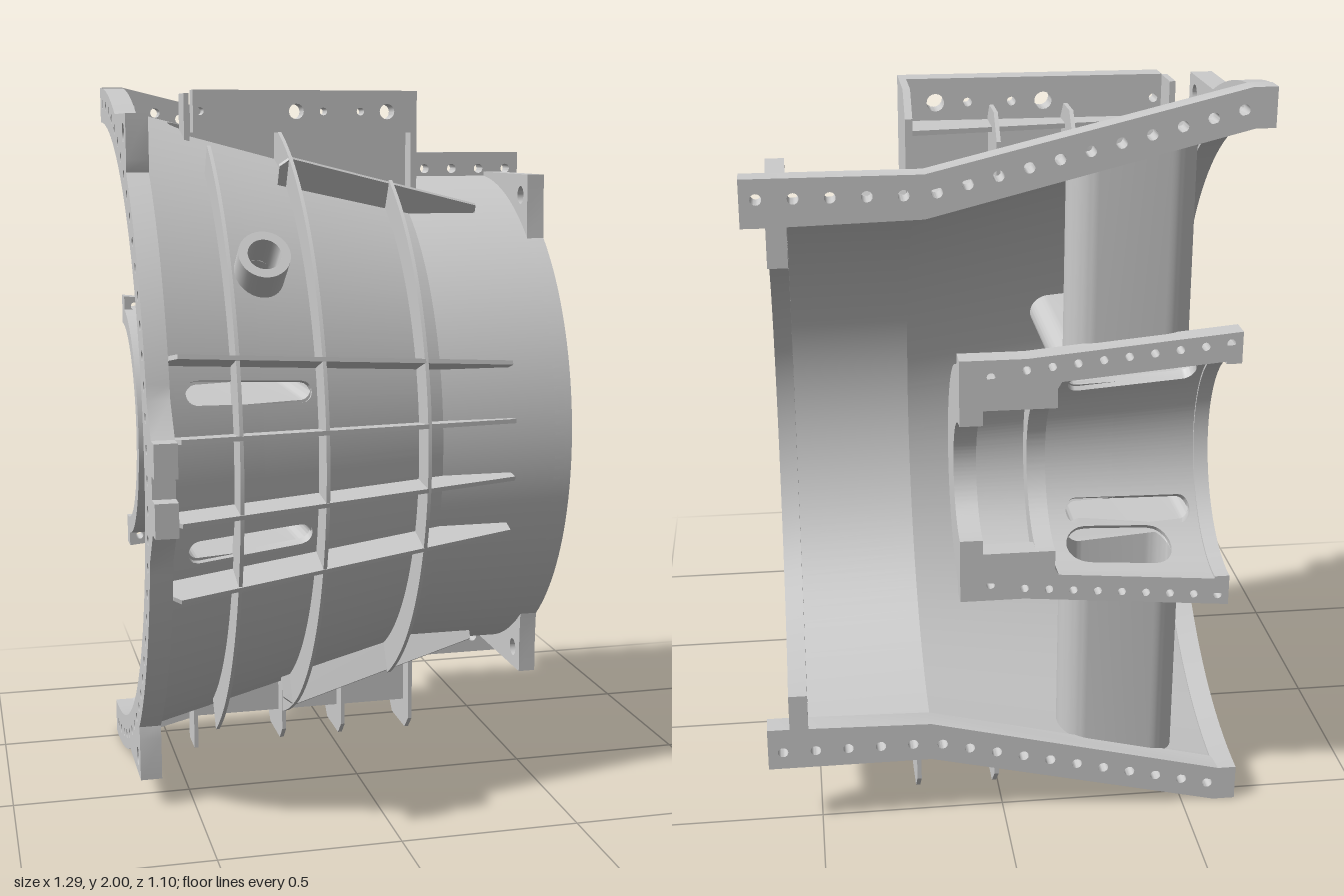
import * as THREE from 'three';
import { toCreasedNormals } from 'three/addons/utils/BufferGeometryUtils.js';

const AY = 1, AZ = -0.55, RAD = Math.PI / 180; // machine axis runs along x
const mat = new THREE.MeshStandardMaterial({ color: 0xcccccc, side: THREE.DoubleSide });
const casingR = x => (x < 0.2 ? 0.94 - 0.25 * (x + 0.6) : 0.74);
const hubR = x => 0.34 - 0.085 * (x + 0.6);

function mesh(geo, name) {
  const m = new THREE.Mesh(toCreasedNormals(geo, 0.5), mat);
  m.name = name;
  return m;
}

// Sweep a four-cornered section [x, r] around the axis; section may vary with the angle
function sweep(section, angles) {
  const pos = [];
  const at = (p, t) => [p[0], AY + p[1] * Math.sin(t), AZ + p[1] * Math.cos(t)];
  const quad = (a, b, c, d) => pos.push(...a, ...b, ...c, ...a, ...c, ...d);
  const loops = angles.map(t => section(t).map(p => at(p, t)));
  for (let i = 0; i + 1 < loops.length; i++)
    for (let k = 0; k < 4; k++) {
      const n = (k + 1) % 4;
      quad(loops[i][k], loops[i][n], loops[i + 1][n], loops[i + 1][k]);
    }
  quad(...[...loops[0]].reverse());
  quad(...loops[loops.length - 1]);
  const g = new THREE.BufferGeometry();
  g.setAttribute('position', new THREE.Float32BufferAttribute(pos, 3));
  return g;
}

const span = (a, b, n) => Array.from({ length: n + 1 }, (_, i) => (a + (b - a) * i / n) * RAD);
const ring = (x0, x1, r0, r1, a = -90, b = 90) =>
  sweep(() => [[x0, r0], [x0, r1], [x1, r1], [x1, r0]], span(a, b, 90));

// Tapered wall pierced by rounded slots {x0, x1, a, b (angles), hw (half width)}
function piercedWall(xa, xb, rOut, th, holes) {
  const e = 1e-5;
  const angles = span(-90, 90, 240);
  for (const h of holes) {
    angles.push(h.a - e, h.b + e);
    for (let i = 0; i <= 16; i++) angles.push(h.a + (h.b - h.a) * i / 16);
  }
  angles.sort((p, q) => p - q);
  const gap = t => {
    const h = holes.find(k => t >= k.a && t <= k.b);
    const mid = h ? (h.x0 + h.x1) / 2 : -0.33;
    if (!h) return [mid, mid];
    const v = ((t - h.a) / (h.b - h.a) * 2 - 1) * h.hw;
    const half = (h.x1 - h.x0) / 2 - h.hw + Math.sqrt(Math.max(0, h.hw * h.hw - v * v));
    return [mid - half, mid + half];
  };
  const strip = (p, q) => [[p, rOut(p) - th], [p, rOut(p)], [q, rOut(q)], [q, rOut(q) - th]];
  return [sweep(t => strip(xa, gap(t)[0]), angles), sweep(t => strip(gap(t)[1], xb), angles)];
}

// Slots where the hollow struts meet a wall of radius r
function strutHoles(r) {
  const out = [];
  for (const s of [-1, 1]) {
    const add = (p, q, x0, x1, hw) =>
      out.push({ a: Math.min(s * p, s * q), b: Math.max(s * p, s * q), x0, x1, hw });
    add(Math.asin(0.17 / r), Math.asin(0.23 / r), -0.54, -0.19, 0.03);
    add(Math.acos(0.19 / r), Math.acos(0.07 / r), -0.47, -0.18, 0.06);
  }
  return out;
}

function outline(pts, holes = []) {
  const s = new THREE.Shape(pts.map(p => new THREE.Vector2(p[0], p[1])));
  for (const [x, y, r] of holes) s.holes.push(new THREE.Path().absarc(x, y, r, 0, Math.PI * 2, true));
  return s;
}
const extrude = (shape, depth) =>
  new THREE.ExtrudeGeometry(shape, { depth, bevelEnabled: false, curveSegments: 8 });
// Plate across x from [z, y] points
const plateX = (pts, x0, x1, holes = []) =>
  extrude(outline(pts.map(p => [-p[0], p[1]]), holes.map(h => [-h[0], h[1], h[2]])), x1 - x0)
    .rotateY(Math.PI / 2).translate(x0, 0, 0);
// Plate across z from [x, y] points
const plateZ = (pts, z0, z1, holes = []) => extrude(outline(pts, holes), z1 - z0).translate(0, 0, z0);

const polar = (r, t) => [AZ + r * Math.cos(t), AY + r * Math.sin(t)]; // [z, y]
const arc = (r, a, b, n) => span(a, b, n).map(t => polar(r, t));
const mirrorY = pts => pts.map(p => [p[0], 2 - p[1], ...p.slice(2)]);
const both = pts => [...pts, ...mirrorY(pts).reverse()];
const boltCircle = (r, n, size) => span(-86, 86, n).map(t => [...polar(r, t), size]);
const line = (a, b, n, size) => Array.from({ length: n }, (_, i) =>
  [a[0] + (b[0] - a[0]) * i / (n - 1), a[1] + (b[1] - a[1]) * i / (n - 1), size]);

// Hollow rounded strut whose two ends follow the hub and casing walls
function strut(x0, x1, u, outR, inR, place) {
  const capsule = (P, r) => {
    const p = new P();
    p.absarc(x1 - inR, u, r, -Math.PI / 2, Math.PI / 2);
    p.absarc(x0 + inR, u, r, Math.PI / 2, Math.PI * 1.5);
    p.closePath();
    return p;
  };
  const s = capsule(THREE.Shape, outR);
  s.holes.push(capsule(THREE.Path, inR));
  const g = new THREE.ExtrudeGeometry(s, { depth: 1, bevelEnabled: false, curveSegments: 16 });
  const p = g.attributes.position;
  for (let i = 0; i < p.count; i++) {
    const x = p.getX(i), v = p.getY(i);
    const r = (p.getZ(i) > 0.5 ? casingR(x) : hubR(x)) - 0.015;
    p.setXYZ(i, x, ...place(v, Math.sqrt(r * r - v * v)));
  }
  return g;
}

export function createModel() {
  const model = new THREE.Group();
  model.name = 'halfCasing';
  const add = (geo, name) => model.add(mesh(geo, name));

  // Conical casing with slots and boss hole, then the cylindrical neck
  const bossT = 35 * RAD, bossHalf = 0.045 / 0.87;
  const casingHoles = [...strutHoles(0.872),
    { a: bossT - bossHalf, b: bossT + bossHalf, x0: -0.355, x1: -0.265, hw: 0.045 }];
  for (const g of piercedWall(-0.62, 0.2, casingR, 0.03, casingHoles)) add(g, 'casingWall');
  add(ring(0.2, 0.56, 0.71, 0.74), 'neckWall');

  // Large end flange with lifting tabs
  const big = both([...arc(1, 90, 67, 10), [-0.15, 1.92], [0.1, 1.92], [0.1, 1.8],
    ...arc(1, 50, 12, 16), [0.5, 1.12], [0.55, 1.12], [0.55, 1.03], [0.5, 1.03]]);
  add(plateX([...big, ...arc(0.9, -90, 90, 60)], -0.65, -0.59,
    [...boltCircle(0.955, 36, 0.014), [0.04, 1.87, 0.026], [0.04, 0.13, 0.026]]), 'largeFlange');

  // Small end flange with square corners
  const small = both([[AZ, 1.75], [-0.08, 1.75], [-0.08, 1.64], ...arc(0.74, 50, 0, 20)]);
  add(plateX([...small, ...arc(0.59, -90, 90, 60)], 0.53, 0.58,
    [...boltCircle(0.635, 26, 0.014), [-0.14, 1.69, 0.026], [-0.14, 0.31, 0.026]]), 'smallFlange');

  // Bolted flanges along the split plane, for casing and hub
  const split = [[-0.65, 2], [-0.59, 2], [0.2, 1.81], [0.64, 1.81], [0.64, 1.69], [0.58, 1.69],
    [0.2, 1.7], [-0.6, 1.9], [-0.65, 1.9]];
  const splitHoles = [...line([-0.57, 1.945], [0.17, 1.765], 11, 0.014), ...line([0.25, 1.76], [0.6, 1.76], 5, 0.014)];
  const hubSplit = [[-0.6, 1.385], [-0.05, 1.335], [0.12, 1.335], [0.12, 1.16], [0.06, 1.16], [0.06, 1.2],
    [-0.1, 1.2], [-0.14, 1.27], [-0.6, 1.31]];
  const hubHoles = [...line([-0.57, 1.355], [-0.05, 1.305], 9, 0.011), [0.04, 1.29, 0.011], [0.09, 1.29, 0.011]];
  for (const f of [p => p, mirrorY]) {
    add(plateZ(f(split), -0.55, -0.49, f(splitHoles)), 'splitFlange');
    add(plateZ(f(hubSplit), -0.55, -0.49, f(hubHoles)), 'hubSplitFlange');
  }

  // Hub with bearing rings at the narrow end
  for (const g of piercedWall(-0.6, 0.1, hubR, 0.03, strutHoles(0.302))) add(g, 'hubWall');
  add(ring(0.06, 0.12, 0.16, 0.31), 'bearingRing');
  add(ring(-0.13, -0.08, 0.2, 0.29), 'bearingRing');
  add(ring(-0.6, -0.56, 0.3, 0.35), 'hubEndRing');

  // Hollow struts between hub and casing
  for (const s of [-1, 1]) {
    add(strut(-0.54, -0.19, 0.2 * s, 0.05, 0.03, (v, w) => [AY + v, AZ + w]), 'horizontalStrut');
    add(strut(-0.47, -0.18, 0.13, 0.078, 0.06, (v, w) => [AY + s * w, AZ + v]), 'verticalStrut');
  }

  // Hoop ribs
  for (const [x, r, a] of [[-0.41, 0.985, 58], [-0.17, 0.925, 74], [0.13, 0.85, 60]])
    add(ring(x - 0.005, x + 0.005, casingR(x) - 0.015, r, -a, a), 'hoopRib');

  // Lengthwise ribs, drawn as [x, r] and turned about the axis
  const radial = (geo, name, deg) => {
    const m = mesh(geo, name);
    m.position.set(0, AY, AZ);
    m.rotation.x = (90 - deg) * RAD;
    model.add(m);
  };
  const longRib = [[-0.59, 0.92], [-0.59, 1.01], [-0.57, 1.03], [0.4, 0.78], [0.4, 0.73], [0.2, 0.73]];
  const shortRib = [[-0.2, 0.825], [-0.2, 0.9], [-0.17, 0.925], [0.4, 0.765], [0.4, 0.73], [0.2, 0.73]];
  for (const d of [-18, -6, 6, 18]) radial(plateZ(longRib, -0.006, 0.006), 'longRib', d);
  for (const d of [-60, 60]) radial(plateZ(shortRib, -0.006, 0.006), 'shortRib', d);

  // Tubular boss
  const tube = [[0.045, 0.84], [0.07, 0.84], [0.07, 0.97], [0.045, 0.97], [0.045, 0.84]];
  radial(new THREE.LatheGeometry(tube.map(p => new THREE.Vector2(...p)), 32).translate(-0.31, 0, 0), 'boss', 35);

  // Mounting bar on top, with its cross ribs, web and shelf; feet ribs below
  const wallY = (x, z) => Math.sqrt((casingR(x) - 0.015) ** 2 - (z - AZ) ** 2);
  const crossRib = (x, z0, top) => [[-0.49, AY + wallY(x, -0.49)], [-0.49, AY + top - 0.06], [-0.43, AY + top],
    [z0 - 0.04, AY + top], [z0, AY + top - 0.04], [z0, AY + wallY(x, z0)]];
  add(plateZ([[-0.42, 1.87], [0.24, 1.87], [0.24, 1.99], [-0.42, 1.99]], -0.3, -0.24,
    [[-0.4, 1.93, 0.011], [-0.12, 1.93, 0.022], [-0.04, 1.93, 0.011], [0.07, 1.93, 0.011], [0.15, 1.93, 0.022]]), 'mountingBar');
  add(plateX([[-0.35, 1.82], [-0.25, 1.8], [-0.25, 1.98], [-0.35, 1.98]], -0.445, -0.43), 'barEndPlate');
  add(plateX(crossRib(0.23, -0.24, 0.99), 0.222, 0.24), 'barEndPlate');
  for (const x of [-0.17, 0.015]) add(plateX(crossRib(x, -0.3, 0.93), x - 0.005, x + 0.005), 'topCrossRib');
  for (const x of [-0.17, 0.015, 0.23])
    add(plateX(mirrorY(crossRib(x, -0.24, 0.97)), x - 0.006, x + 0.006), 'bottomCrossRib');
  add(plateX([[-0.35, 0.03], [-0.25, 0.03], [-0.25, 0.18], [-0.35, 0.15]], -0.446, -0.434), 'bottomCrossRib');
  const web = [[-0.43, AY + wallY(-0.43, -0.3)], [0.2, AY + wallY(0.2, -0.3)], [0.23, AY + wallY(0.23, -0.3)],
    [0.23, 1.88], [-0.43, 1.88]];
  for (const f of [p => p, mirrorY]) {
    add(plateZ(f(web), -0.31, -0.298), 'web');
    const y = f([[0, 1.88]])[0][1];
    const shelf = outline([[-0.43, 0.3], [0.23, 0.3], [0.23, 0.42], [-0.43, 0.34]]);
    add(extrude(shelf, 0.012).rotateX(-Math.PI / 2).translate(0, y - 0.006, 0), 'shelf');
  }
  return model;
}
